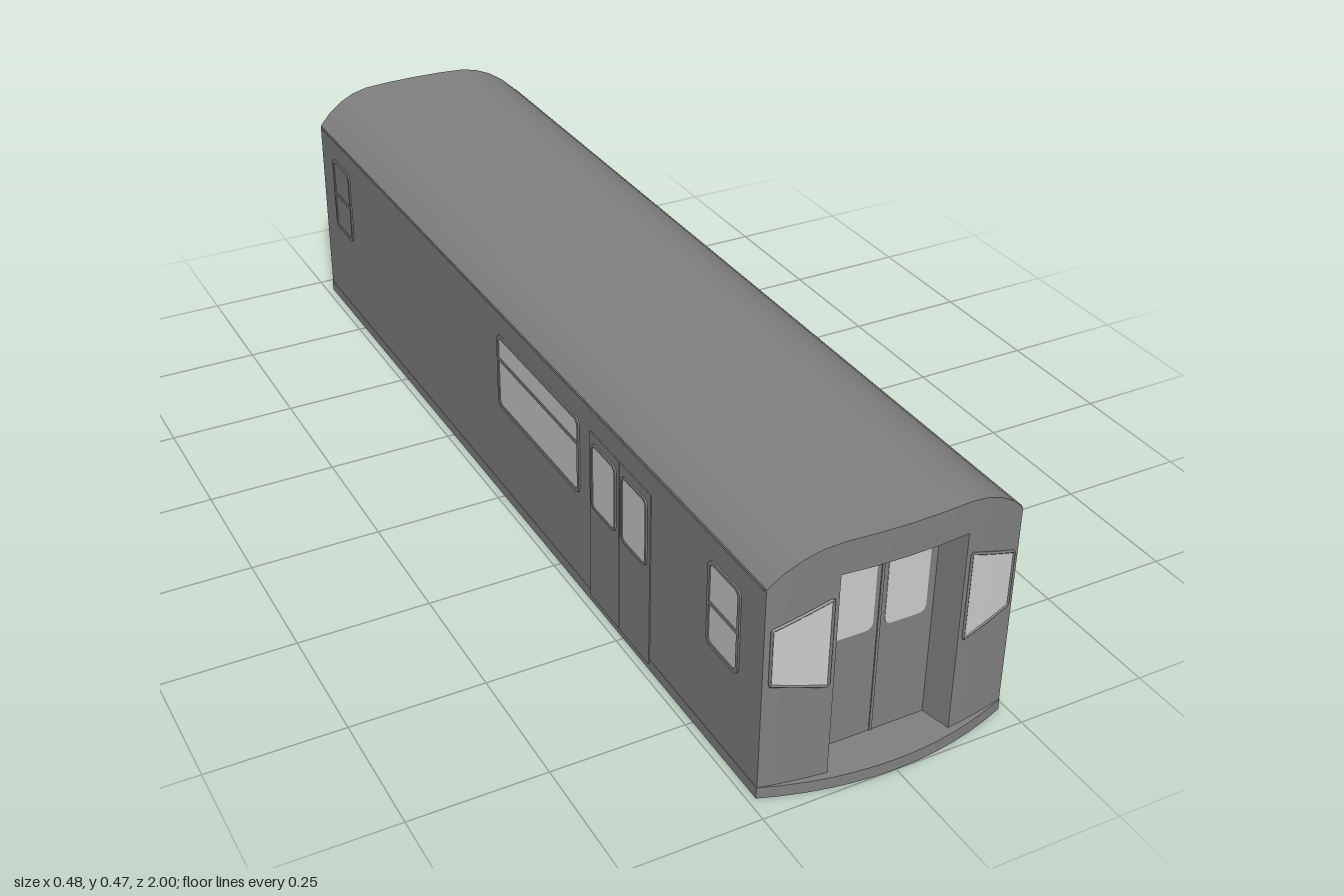
import * as THREE from 'three';

const W = 0.235, FLOOR = 0.022, EAVE = 0.41, DOOR_Z = 0.92, DOOR_TOP = 0.411;
const paint = new THREE.MeshStandardMaterial({ color: 0x808080 });
const glass = new THREE.MeshStandardMaterial({ color: 0xcccccc });

// Bowed plan of the end wall, and the roof outline from side to side
const bow = x => 0.982 - 0.027 * (x / W) ** 2;
const half = [[0, 0.472], [0.06, 0.472], [0.117, 0.471], [0.15, 0.465], [0.18, 0.453], [0.21, 0.434], [W, EAVE]];
const roofLine = [...half.slice(1).reverse().map(([x, y]) => [-x, y]), ...half];

function add(parent, name, geo, mat = paint, x = 0, y = 0, z = 0) {
  const m = new THREE.Mesh(geo, mat);
  m.name = name;
  m.position.set(x, y, z);
  parent.add(m);
  return m;
}

// Surface between two polylines with the same number of points
function ribbon(a, b, flat = false) {
  const n = a.length, index = [];
  for (let i = 0; i < n - 1; i++) index.push(i, i + 1, n + i + 1, i, n + i + 1, n + i);
  let g = new THREE.BufferGeometry();
  g.setAttribute('position', new THREE.Float32BufferAttribute([...a, ...b].flat(), 3));
  g.setIndex(index);
  if (flat) g = g.toNonIndexed();
  g.computeVertexNormals();
  return g;
}

function roundRect(w, h, r, Type = THREE.Shape) {
  const s = new Type(), x = w / 2, y = h / 2;
  s.absarc(x - r, y - r, r, 0, Math.PI / 2);
  s.absarc(-x + r, y - r, r, Math.PI / 2, Math.PI);
  s.absarc(-x + r, -y + r, r, Math.PI, Math.PI * 1.5);
  s.absarc(x - r, -y + r, r, Math.PI * 1.5, Math.PI * 2);
  s.closePath();
  return s;
}

const slab = (shape, depth) => new THREE.ExtrudeGeometry(shape, { depth, bevelEnabled: false, curveSegments: 5 });

// Framed window lying in the xy plane, with an optional bar across it
function framedWindow(name, w, h, { bar = null, mat = glass, frame = 0.007 } = {}) {
  const g = new THREE.Group();
  g.name = name;
  const rim = roundRect(w + frame * 2, h + frame * 2, 0.015);
  rim.holes.push(roundRect(w, h, 0.01, THREE.Path));
  add(g, 'windowFrame', slab(rim, 0.003));
  add(g, 'windowPane', slab(roundRect(w, h, 0.01), 0.001), mat);
  if (bar !== null) add(g, 'windowBar', new THREE.BoxGeometry(w, 0.006, 0.003), paint, 0, bar, 0.0015);
  return g;
}

// One long side: s is +1 for the left, -1 for the right
function makeSide(s) {
  const side = new THREE.Group();
  side.name = s > 0 ? 'leftSide' : 'rightSide';
  const z = bow(W) * s;
  add(side, 'sideWall', ribbon([[s * W, FLOOR, z], [s * W, FLOOR, -z]], [[s * W, EAVE, z], [s * W, EAVE, -z]]));
  add(side, 'gutter', new THREE.BoxGeometry(0.003, 0.005, 1.9), paint, s * W, EAVE - 0.002, 0);

  const place = (obj, y, zPos, out = 0) => {
    obj.position.set(s * (W + out), y, zPos);
    obj.rotation.y = s * Math.PI / 2;
    side.add(obj);
  };
  place(framedWindow('frontSmallWindow', 0.086, 0.152, { bar: 0 }), 0.279, 0.836);
  place(framedWindow('rearSmallWindow', 0.086, 0.152, { bar: 0, mat: paint }), 0.279, -0.836);
  place(framedWindow('longWindow', 0.33, 0.144, { bar: 0.026 }), 0.282, 0.16);

  // Pair of door leaves with a thin seam between them
  for (const zc of [0.541, 0.429]) {
    add(side, 'sideDoorLeaf', new THREE.BoxGeometry(0.003, 0.35, 0.11), paint, s * (W + 0.0005), 0.187, zc);
    place(framedWindow('sideDoorWindow', 0.082, 0.126, { frame: 0.005 }), 0.278, zc, 0.002);
  }
  return side;
}

// One end, built facing +z
function makeEnd(name) {
  const end = new THREE.Group();
  end.name = name;
  const at = (x, y, out = 0) => [x, y, bow(x) + out];

  // Bowed wall: two flanks and the strip over the doorway
  const cols = (test, low) => {
    const p = roofLine.filter(([x]) => test(x));
    return ribbon(p.map(([x]) => at(x, low)), p.map(([x, y]) => at(x, y)));
  };
  add(end, 'rightFlank', cols(x => x <= -0.117, FLOOR));
  add(end, 'leftFlank', cols(x => x >= 0.117, FLOOR));
  add(end, 'doorHeader', cols(x => Math.abs(x) <= 0.117, DOOR_TOP));

  // Recessed doorway with splayed jambs
  const j = 0.117, d = 0.104, top = DOOR_TOP - 0.006;
  const plan = [[-j, bow(j), DOOR_TOP], [-d, DOOR_Z, top], [d, DOOR_Z, top], [j, bow(j), DOOR_TOP]];
  add(end, 'doorRecess', ribbon(plan.map(([x, z]) => [x, FLOOR, z]), plan.map(([x, z, y]) => [x, y, z]), true));
  const xs = [-1, -0.5, 0, 0.5, 1];
  add(end, 'doorLintel', ribbon(xs.map(t => [t * d, top, DOOR_Z]), xs.map(t => at(t * j, DOOR_TOP))));
  add(end, 'doorSeam', new THREE.BoxGeometry(0.005, top - FLOOR, 0.004), paint, 0, (top + FLOOR) / 2, DOOR_Z);

  for (const s of [-1, 1]) {
    add(end, 'endDoorWindow', slab(roundRect(0.079, 0.158, 0.014), 0.001), glass, s * 0.0505, 0.313, DOOR_Z);

    // Tapered window following the bow of the wall
    const low = [], high = [];
    for (let i = 0; i <= 6; i++) {
      const t = s > 0 ? i / 6 : 1 - i / 6, x = s * (0.127 + 0.097 * t);
      low.push(at(x, 0.203 + 0.024 * t, 0.002));
      high.push(at(x, 0.37 - 0.038 * t, 0.002));
    }
    add(end, 'cornerWindow', ribbon(low, high), glass);
    const loop = [...low, ...high.reverse()].map(p => new THREE.Vector3(...p));
    const path = new THREE.CurvePath();
    loop.forEach((p, i) => path.add(new THREE.LineCurve3(p, loop[(i + 1) % loop.length])));
    add(end, 'cornerWindowFrame', new THREE.TubeGeometry(path, 120, 0.0025, 6, true));
  }
  return end;
}

export function createModel() {
  const car = new THREE.Group();
  car.name = 'railCar';

  // Floor plate with bowed ends that stand out as steps
  const outline = [];
  for (const s of [1, -1]) {
    for (let i = 0; i <= 12; i++) {
      const t = 1 - i / 6;
      outline.push(new THREE.Vector2(s * t * (W + 0.001), s * (1 - 0.045 * t * t)));
    }
  }
  const plate = slab(new THREE.Shape(outline), FLOOR);
  plate.rotateX(-Math.PI / 2);
  add(car, 'floorPlate', plate);

  // Curved roof
  add(car, 'roof', ribbon(roofLine.map(([x, y]) => [x, y, bow(x)]), roofLine.map(([x, y]) => [x, y, -bow(x)])));

  car.add(makeSide(1), makeSide(-1));
  const rear = makeEnd('rearEnd');
  rear.rotation.y = Math.PI;
  car.add(makeEnd('frontEnd'), rear);
  return car;
}
